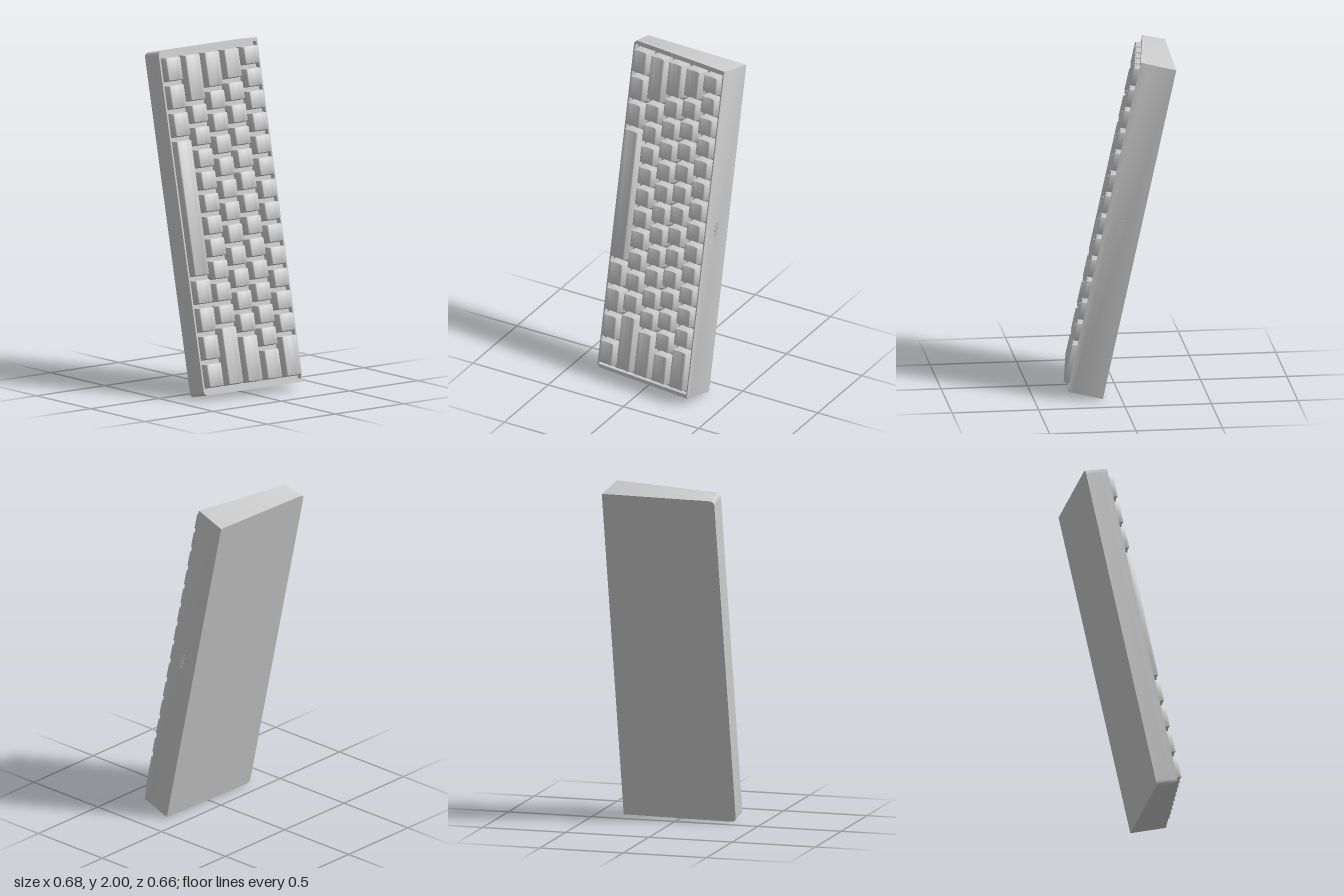
import * as THREE from 'three';
import { toCreasedNormals } from 'three/addons/utils/BufferGeometryUtils.js';

const U = 0.129;          // one key unit
const W = 0.34, L = 0.998; // half depth and half length of the case
const RECESS = 0.04;

const material = new THREE.MeshStandardMaterial({ color: 0xcccccc });

function addMesh(parent, geometry, name) {
  const mesh = new THREE.Mesh(geometry, material);
  mesh.name = name;
  parent.add(mesh);
  return mesh;
}

// Rectangle with separate corner radii on its -x and +x sides
function roundedRect(C, x0, x1, y0, y1, rl, rr) {
  const s = new C();
  s.moveTo(x0 + rl, y0);
  s.lineTo(x1 - rr, y0);
  s.quadraticCurveTo(x1, y0, x1, y0 + rr);
  s.lineTo(x1, y1 - rr);
  s.quadraticCurveTo(x1, y1, x1 - rr, y1);
  s.lineTo(x0 + rl, y1);
  s.quadraticCurveTo(x0, y1, x0, y1 - rl);
  s.lineTo(x0, y0 + rl);
  s.quadraticCurveTo(x0, y0, x0 + rl, y0);
  return s;
}

function reshape(geometry, rule, crease = 0.6) {
  const p = geometry.attributes.position;
  const v = new THREE.Vector3();
  for (let i = 0; i < p.count; i++) {
    rule(v.fromBufferAttribute(p, i));
    p.setXYZ(i, v.x, v.y, v.z);
  }
  geometry.computeVertexNormals();
  return toCreasedNormals(geometry, crease);
}

// Slab of the wedge case: thin along -x, thick along +x
function caseSlab(shape, isRim) {
  const g = new THREE.ExtrudeGeometry(shape, { depth: 1, bevelEnabled: false, curveSegments: 6 });
  return reshape(g, (v) => {
    const k = (v.x + W) / (2 * W);
    const back = -0.125 + 0.018 * k;
    const front = 0.005 + 0.095 * k;
    const floor = 1 - RECESS / (front - back);
    const t = isRim ? floor + (1 - floor) * v.z : floor * v.z;
    v.z = back + (front - back) * t;
    v.x -= 0.03 * t * k;
  });
}

// Tapered key cap with a dished top, its profile swept along the key length
function keyCap(units) {
  const bevel = 0.004, h = 0.071;
  const b = 0.055 - bevel, t = 0.049 - bevel;
  const length = units * U - 0.019;
  const s = new THREE.Shape();
  s.moveTo(-b, bevel);
  s.lineTo(b, bevel);
  s.lineTo(t, h - 0.008);
  s.quadraticCurveTo(t - 0.0005, h - bevel, t - 0.005, h - bevel);
  s.quadraticCurveTo(0, h - bevel - 0.011, -t + 0.005, h - bevel);
  s.quadraticCurveTo(-t + 0.0005, h - bevel, -t, h - 0.008);
  s.lineTo(-b, bevel);
  const g = new THREE.ExtrudeGeometry(s, {
    depth: length - 2 * bevel, bevelSize: bevel, bevelThickness: bevel,
    bevelSegments: 2, curveSegments: 5,
  });
  g.translate(0, 0, -length / 2 + bevel);
  g.rotateX(Math.PI / 2);
  return reshape(g, (v) => {
    v.y *= 1 - (0.012 / length) * (v.z / h);
  }, 0.7);
}

const ones = (n) => Array(n).fill(1);

// Rows from the thin edge to the thick edge, widths in key units
const rows = [
  [1.25, 1.25, 1.25, 6.25, 1.25, 1.25, 1.25, 1.25],
  [2.25, ...ones(10), 2.75],
  [1.75, ...ones(11), 2.25],
  [1.5, ...ones(12), 1.5],
  [...ones(13), 2],
];

export function createModel() {
  const model = new THREE.Group();
  model.name = 'keyboard';

  // Whole board stands on its end, leaning back
  const board = new THREE.Group();
  board.name = 'board';
  board.rotation.x = -0.2147;
  board.position.y = 1;
  model.add(board);

  // Case: solid wedge with a thin rim around the key recess
  const casing = new THREE.Group();
  casing.name = 'case';
  casing.position.y = 0.003;
  board.add(casing);
  const outline = () => roundedRect(THREE.Shape, -W, W, -L, L, 0.03, 0.002);
  addMesh(casing, caseSlab(outline(), false), 'caseBody');
  const rim = outline();
  rim.holes.push(roundedRect(THREE.Path, -0.33, 0.332, -0.977, 0.977, 0.012, 0.006));
  addMesh(casing, caseSlab(rim, true), 'caseRim');

  // Everything aligned with the sloping key face
  const face = new THREE.Group();
  face.name = 'keyFace';
  face.rotation.y = -0.145;
  face.position.set(-0.0115, 0.003, 0.0525);
  board.add(face);

  // Key caps
  const caps = new Map();
  rows.forEach((row, r) => {
    const group = new THREE.Group();
    group.name = `keyRow${r + 1}`;
    group.position.set((r - 2) * U, 0, -RECESS + 0.002);
    face.add(group);
    let y = 7.5 * U;
    for (const units of row) {
      if (!caps.has(units)) caps.set(units, keyCap(units));
      const key = addMesh(group, caps.get(units), units > 6 ? 'spaceBar' : 'keyCap');
      key.position.y = y - (units * U) / 2;
      y -= units * U;
    }
  });

  // Cable socket on the thick edge
  const socket = new THREE.Group();
  socket.name = 'cableSocket';
  socket.position.set(0.325, 0.015, -0.096);
  face.add(socket);
  const lip = roundedRect(THREE.Shape, -0.012, 0.012, -0.047, 0.047, 0.012, 0.012);
  lip.holes.push(roundedRect(THREE.Path, -0.009, 0.009, -0.044, 0.044, 0.009, 0.009));
  const lipGeometry = new THREE.ExtrudeGeometry(lip, { depth: 0.004, bevelEnabled: false });
  lipGeometry.rotateY(Math.PI / 2);
  addMesh(socket, lipGeometry, 'socketLip').position.x = -0.002;
  const tongue = new THREE.BoxGeometry(0.004, 0.066, 0.006);
  addMesh(socket, tongue, 'socketTongue');

  return model;
}
